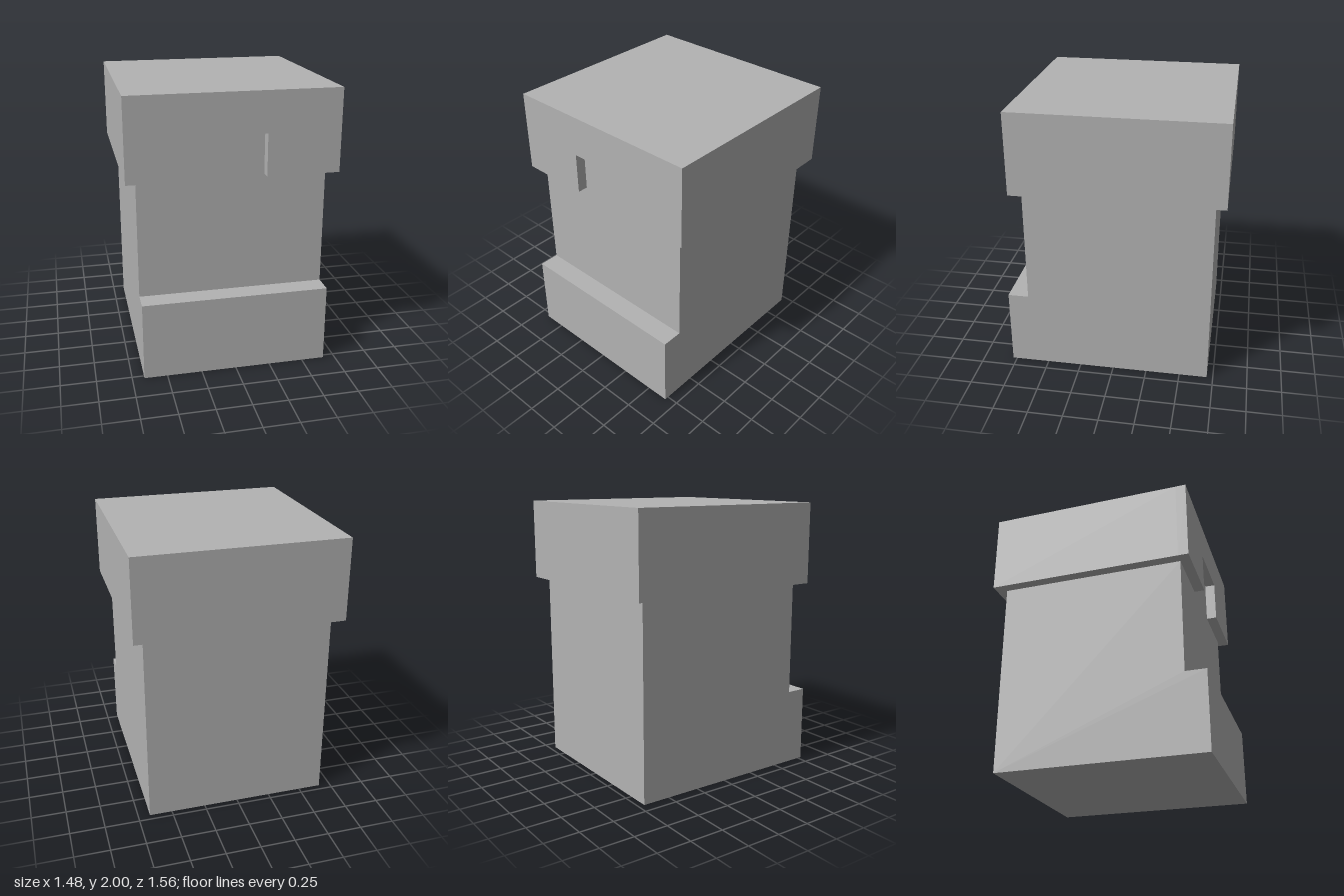
import * as THREE from 'three';

// Extrude a closed outline of [x, y] points
function extrude(points, depth) {
  const shape = new THREE.Shape(points.map(([x, y]) => new THREE.Vector2(x, y)));
  return new THREE.ExtrudeGeometry(shape, { depth, bevelEnabled: false });
}

export function createModel() {
  const model = new THREE.Group();
  model.name = 'steppedBlock';
  const grey = new THREE.MeshStandardMaterial({ color: 0xb3b3b3 });
  grey.name = 'grey';

  const add = (name, geometry) => {
    const mesh = new THREE.Mesh(geometry, grey);
    mesh.name = name;
    model.add(mesh);
    return mesh;
  };

  const bodyHalf = 0.665, capHalf = 0.74;
  const bodyBack = -0.705, bodyFront = 0.63, stepFront = 0.78;
  const capBack = -0.78, capFront = 0.705;
  const stepTop = 0.565, capBottom = 1.41, notchTop = 1.71, top = 2;
  const notchHalf = 0.223;

  // Body with front step: side profile (z, y) swept across x
  const body = extrude([
    [bodyBack, 0], [stepFront, 0], [stepFront, stepTop],
    [bodyFront, stepTop], [bodyFront, capBottom], [bodyBack, capBottom],
  ], bodyHalf * 2);
  body.rotateY(-Math.PI / 2).translate(bodyHalf, 0, 0);
  add('body', body);

  // Overhanging cap, flush with the body front
  const cap = add('cap', new THREE.BoxGeometry(capHalf * 2, top - capBottom, bodyFront - capBack));
  cap.position.set(0, (top + capBottom) / 2, (bodyFront + capBack) / 2);

  // Front lip of the cap with a square notch
  const lip = add('notchedLip', extrude([
    [-capHalf, capBottom], [-notchHalf, capBottom], [-notchHalf, notchTop],
    [notchHalf, notchTop], [notchHalf, capBottom], [capHalf, capBottom],
    [capHalf, top], [-capHalf, top],
  ], capFront - bodyFront));
  lip.position.z = bodyFront;

  return model;
}
